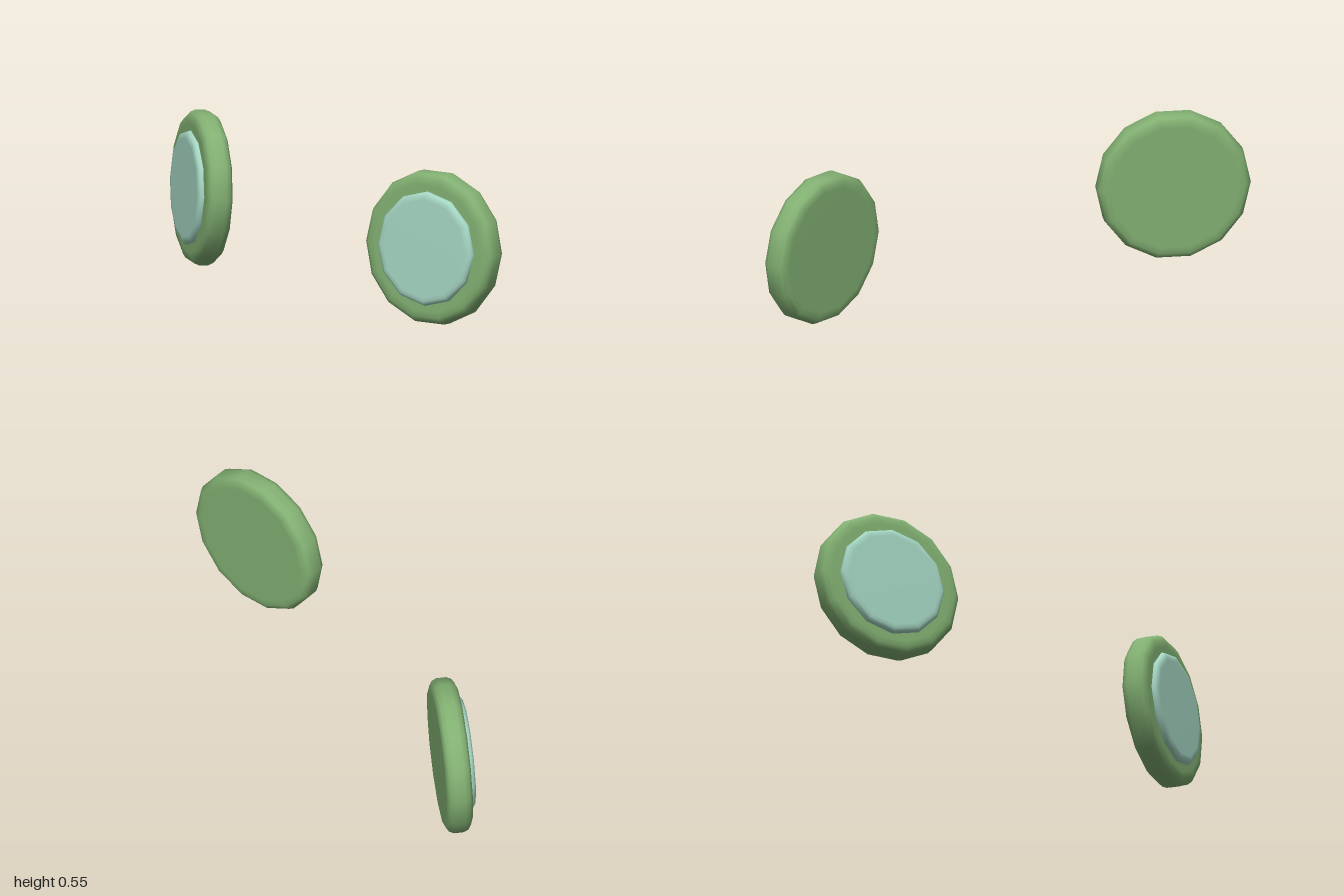
import * as THREE from 'three';

// Rounded disc facing +z, turned from a half profile of [radius, depth] points
function disc(name, profile, sides, color) {
  const points = profile.map(([r, d]) => new THREE.Vector2(r, d));
  const geometry = new THREE.LatheGeometry(points, sides, Math.PI / 2);
  geometry.rotateX(Math.PI / 2);
  // the turned axis now runs along z, with depth increasing to the front
  const mesh = new THREE.Mesh(geometry, new THREE.MeshStandardMaterial({ color }));
  mesh.name = name;
  return mesh;
}

const rimProfile = [
  [0, -0.047], [0.235, -0.047], [0.258, -0.046], [0.274, -0.036], [0.282, -0.018],
  [0.282, 0.018], [0.274, 0.036], [0.258, 0.046], [0.235, 0.047], [0, 0.047],
];
const lensProfile = [
  [0, 0.03], [0.2, 0.03], [0.209, 0.04], [0.209, 0.051],
  [0.205, 0.06], [0.195, 0.066], [0.18, 0.067], [0, 0.067],
];

export function createModel() {
  const model = new THREE.Group();
  model.name = 'eyes';

  // Mirrored pair, turned outwards and tipped slightly back
  for (const side of [1, -1]) {
    const eye = new THREE.Group();
    eye.name = side > 0 ? 'leftEye' : 'rightEye';
    eye.add(disc('rim', rimProfile, 14, 0x82b072));
    eye.add(disc('lens', lensProfile, 12, 0xa5d6c3));
    eye.rotation.set(-0.035, side * 0.349, 0, 'YXZ');
    eye.position.set(side * 0.729, 0.277, 0);
    model.add(eye);
  }
  return model;
}
